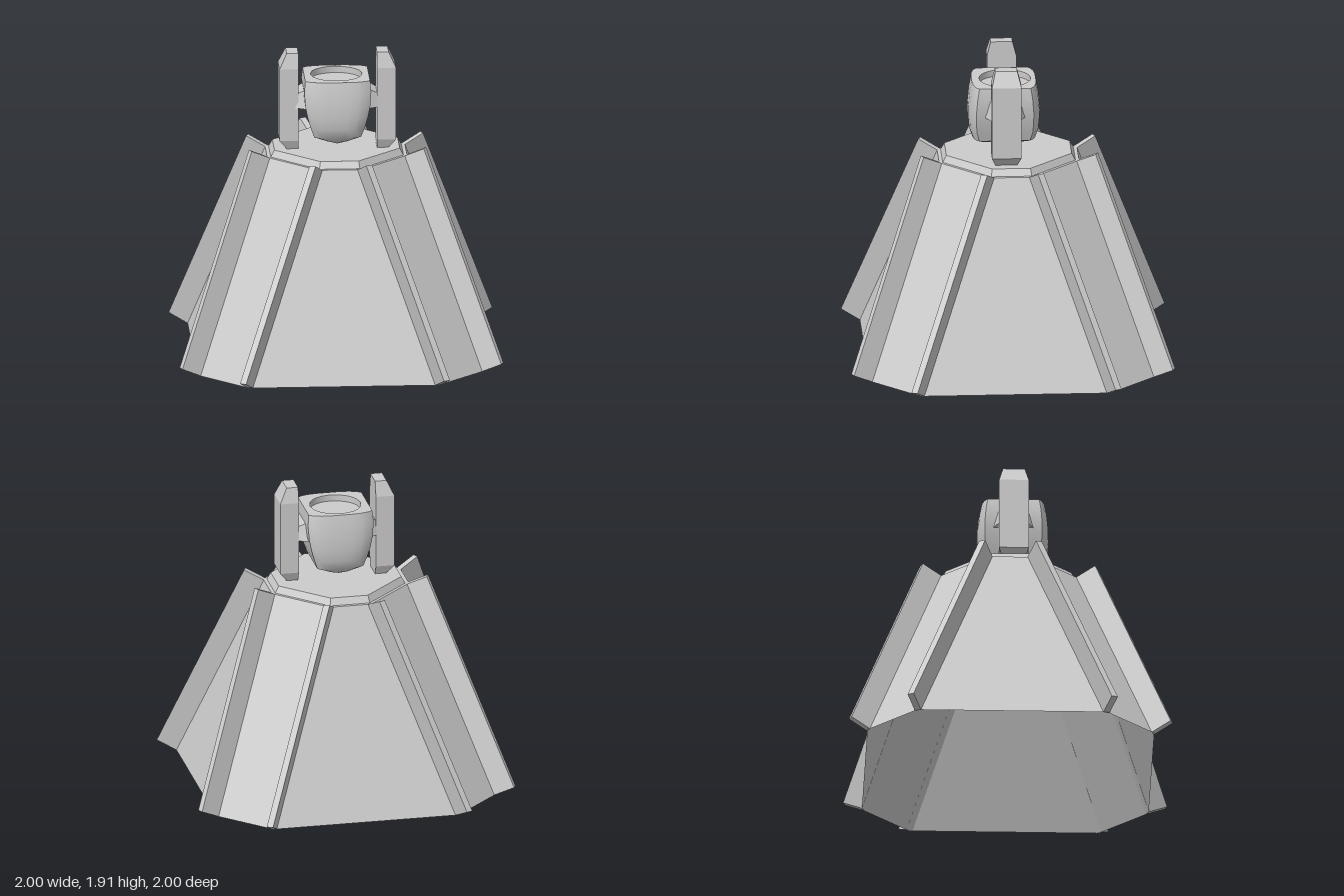
import * as THREE from 'three';
import { toCreasedNormals } from 'three/addons/utils/BufferGeometryUtils.js';

// Skin rings of [x, y, z] points; each ring turns from +x towards +z, rings run bottom to top.
function loft(rings, capBottom = true, capTop = true) {
  const pos = [];
  const tri = (a, b, c) => pos.push(...a, ...b, ...c);
  const n = rings[0].length;
  const next = (j) => (j + 1) % n;
  for (let i = 0; i < rings.length - 1; i++) {
    for (let j = 0; j < n; j++) {
      const a = rings[i][j], b = rings[i][next(j)];
      const c = rings[i + 1][next(j)], d = rings[i + 1][j];
      tri(a, d, c);
      tri(a, c, b);
    }
  }
  const centre = (r) => [0, 1, 2].map((k) => r.reduce((s, p) => s + p[k], 0) / n);
  const first = rings[0], last = rings[rings.length - 1];
  for (let j = 0; j < n; j++) {
    if (capBottom) tri(centre(first), first[j], first[next(j)]);
    if (capTop) tri(centre(last), last[next(j)], last[j]);
  }
  const g = new THREE.BufferGeometry();
  g.setAttribute('position', new THREE.Float32BufferAttribute(pos, 3));
  g.computeVertexNormals();
  return g;
}

const octagon = (r, e, y) =>
  [[r, -e], [r, e], [e, r], [-e, r], [-r, e], [-r, -e], [-e, -r], [e, -r]].map(([x, z]) => [x, y, z]);

const rect = (xa, xb, z0, z1, y) => {
  const x0 = Math.min(xa, xb), x1 = Math.max(xa, xb);
  return [[x0, y, z0], [x1, y, z0], [x1, y, z1], [x0, y, z1]];
};

export function createModel() {
  const group = new THREE.Group();
  const flat = new THREE.MeshStandardMaterial({ color: 0xcccccc, flatShading: true });
  const thin = new THREE.MeshStandardMaterial({ color: 0xcccccc, flatShading: true, side: THREE.DoubleSide });
  const smooth = new THREE.MeshStandardMaterial({ color: 0xcccccc });
  const add = (name, geometry, material = flat) => {
    const mesh = new THREE.Mesh(geometry, material);
    mesh.name = name;
    group.add(mesh);
    return mesh;
  };

  // Hollow sloping skirt, open underneath
  add('skirt', loft([octagon(0.885, 0.585, 0), octagon(0.432, 0.13, 1.26)], false, false), thin);

  // Top deck: flat ledge, bevel and raised plate
  add('deck', loft([
    octagon(0.432, 0.13, 1.26), octagon(0.41, 0.125, 1.26), octagon(0.387, 0.118, 1.303),
  ], false, true), thin);

  // Fins standing on the eight ridges
  const corners = octagon(0.885, 0.585, 0), tops = octagon(0.432, 0.13, 1.26), outs = octagon(0.107, 0.045, 0.058);
  corners.forEach((foot, i) => {
    const [ox, oy, oz] = outs[i];
    const len = Math.hypot(ox, oz), tx = (oz / len) * 0.02, tz = (-ox / len) * 0.02;
    const section = ([x, y, z]) => {
      const at = (out, rise, s) => [x + ox * out + s * tx, y + oy * rise, z + oz * out + s * tz];
      return [at(-0.08, 0, -1), at(-0.08, 0, 1), at(1, 1, 1), at(1, 1, -1)];
    };
    add('fin', loft([section(foot), section(tops[i])]));
  });

  // Barrel-shaped head with flat cheeks, keel-like underside and a round recess on top
  const quarter = [[1, 0], [1, 0.45], [1, 0.8], [0.86, 0.9], [0.62, 0.97], [0.3, 1]];
  const outline = [
    ...quarter, [0, 1],
    ...quarter.slice(1).reverse().map(([x, z]) => [-x, z]),
    ...quarter.map(([x, z]) => [-x, -z]), [0, -1],
    ...quarter.slice(1).reverse().map(([x, z]) => [x, -z]),
  ];
  const headZ = 0.028;
  const headRings = [
    [1.345, 0.004, 0.11], [1.37, 0.07, 0.165], [1.4, 0.145, 0.195], [1.46, 0.166, 0.215], [1.53, 0.186, 0.221],
    [1.6, 0.2, 0.221], [1.69, 0.207, 0.212], [1.76, 0.2, 0.198],
  ].map(([y, a, d]) => outline.map(([x, z]) => [x * a, y, z * d + headZ]));
  const circle = (r, y) => outline.map(([x, z]) => {
    const t = Math.atan2(z, x);
    return [r * Math.cos(t), y, r * Math.sin(t) + 0.02];
  });
  headRings.push(circle(0.16, 1.76), circle(0.16, 1.72));
  add('head', toCreasedNormals(loft(headRings), 0.6), smooth);

  // Side pods with chamfered ends, each on a tapered arm
  for (const s of [1, -1]) {
    const at = (x) => s * x + 0.005;
    const inner = at(0.243), outer = at(0.36), tip = at(0.315);
    add('sidePod', loft([
      rect(inner, tip, -0.04, 0.095, 1.303), rect(inner, outer, -0.065, 0.118, 1.36),
      rect(inner, outer, -0.065, 0.118, 1.82), rect(inner, tip, -0.04, 0.095, 1.915),
    ]));

    const x0 = s * 0.17, x1 = s * 0.26;
    const armRing = (yIn, yOut, wIn, wOut) => {
      const ring = [[x0, yIn, headZ - wIn], [x1, yOut, headZ - wOut], [x1, yOut, headZ + wOut], [x0, yIn, headZ + wIn]];
      return s > 0 ? ring : ring.reverse();
    };
    add('arm', loft([armRing(1.57, 1.57, 0.135, 0.09), armRing(1.7, 1.65, 0.105, 0.07)]));
  }
  return group;
}
